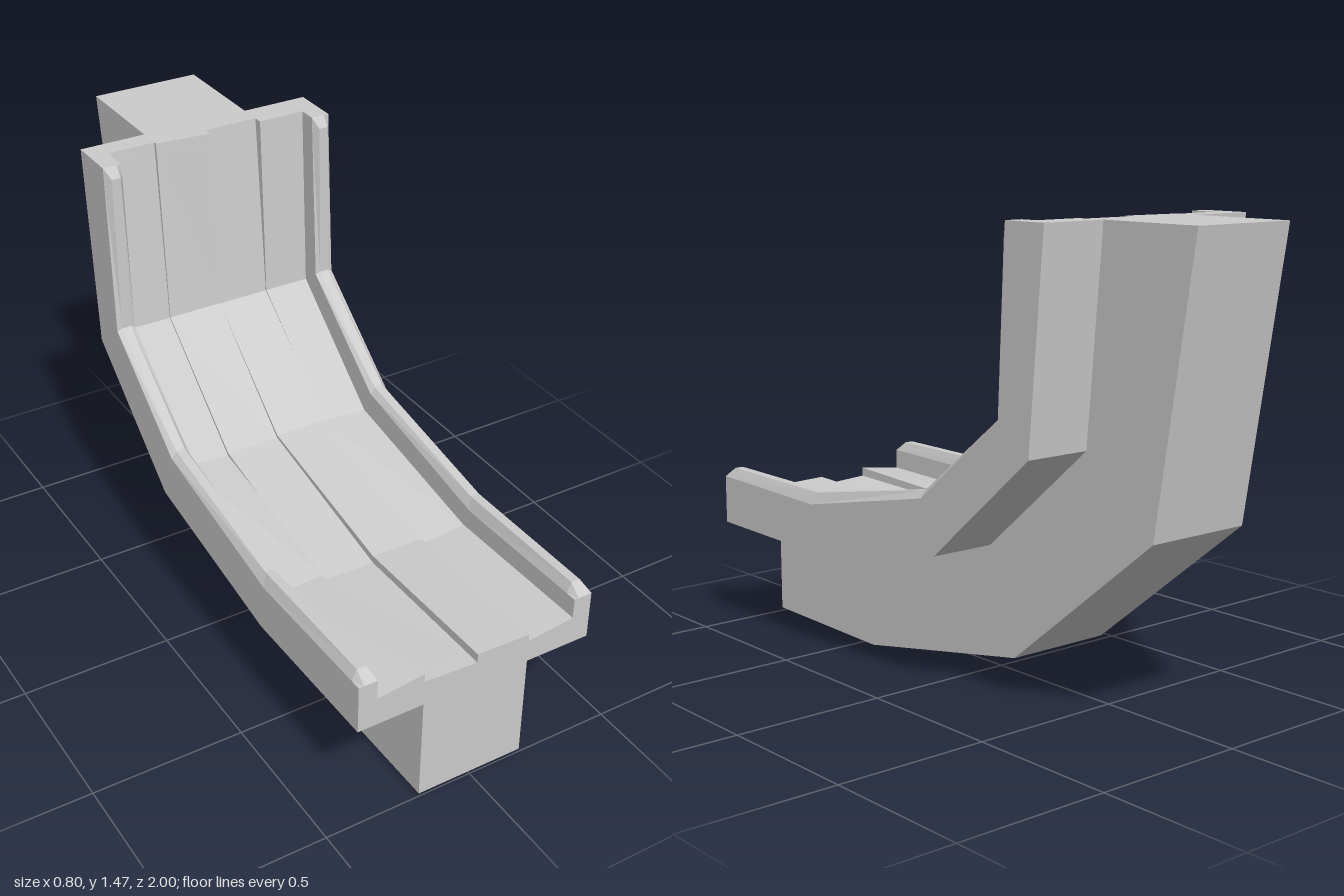
import * as THREE from 'three';

// Lengthwise curves as [z, y] at the five bends, from the front end to the top end
const keel = [[1, 0.015], [0.45, 0.004], [-0.275, 0.132], [-0.855, 0.595], [-1, 1.476]];
const under = [[1, 0.365], [0.46, 0.355], [-0.16, 0.465], [-0.585, 0.82], [-0.645, 1.476]];
const floor = [[1, 0.46], [0.45, 0.445], [-0.135, 0.555], [-0.52, 0.87], [-0.575, 1.476]];
const railEdge = [[1, 0.527], [0.48, 0.515], [-0.1, 0.632], [-0.455, 0.917], [-0.485, 1.476]];
const railTop = [[1, 0.56], [0.46, 0.555], [-0.1, 0.655], [-0.452, 0.925], [-0.462, 1.476]];

// Plank edges across the floor, and how far each edge stands proud at every bend
const plankX = [-0.34, -0.182, -0.182, 0, 0, 0.182, 0.182, 0.34];
const plankRise = [
  [0, 0.02, -0.01, -0.02, 0.01, 0.005, -0.02, 0],
  [0, 0.01, -0.01, -0.015, 0.01, 0.005, -0.015, 0],
  [0.005, -0.01, 0, 0, 0.01, 0.01, 0.005, -0.005],
  [0.015, 0, 0.005, 0.012, 0, 0, 0.005, 0],
  [0, 0, 0.012, 0.03, 0, 0, 0.03, 0.03],
];

// Position along the bends; the two extra stations shape the chamfered rail ends
const stations = [0, 0.07, 1, 2, 3, 3.94, 4];

function at(curve, s) {
  const i = Math.min(Math.floor(s), 3), t = s - i;
  return curve[i].map((v, k) => v + (curve[i + 1][k] - v) * t);
}

// Closed cross-section, counter-clockwise seen from the front end
function section(s) {
  const [k, u, f, e] = [keel, under, floor, railEdge].map((c) => at(c, s));
  const p = s === 0 || s === 4 ? e : at(railTop, s);
  const rise = at(plankRise, s);
  const n = new THREE.Vector2(f[0] - u[0], f[1] - u[1]).normalize();
  const point = (x, c) => new THREE.Vector3(x, c[1], c[0]);
  const right = [
    point(0.182, k), point(0.182, u), point(0.402, u),
    point(0.402, e), point(0.385, p), point(0.355, p), point(0.34, e),
  ];
  const left = right.map((v) => new THREE.Vector3(-v.x, v.y, v.z)).reverse();
  const planks = plankX.map((x, i) => point(x, [f[0] + n.x * rise[i], f[1] + n.y * rise[i]])).reverse();
  return [...right, ...planks, ...left];
}

function sweep(rings) {
  const pos = [];
  const tri = (...pts) => pts.forEach((p) => pos.push(p.x, p.y, p.z));
  const count = rings[0].length;
  // Long faces
  for (let i = 0; i < rings.length - 1; i++) {
    for (let j = 0; j < count; j++) {
      const a = rings[i][j], b = rings[i][(j + 1) % count];
      const c = rings[i + 1][(j + 1) % count], d = rings[i + 1][j];
      tri(a, c, b);
      tri(a, d, c);
    }
  }
  // Flat ends
  const first = rings[0], last = rings[rings.length - 1];
  const cap = (ring, axis) =>
    THREE.ShapeUtils.triangulateShape(ring.map((v) => new THREE.Vector2(v.x, v[axis])), []);
  cap(first, 'y').forEach(([a, b, c]) => tri(first[a], first[b], first[c]));
  cap(last, 'z').forEach(([a, b, c]) => tri(last[a], last[c], last[b]));
  const geometry = new THREE.BufferGeometry();
  geometry.setAttribute('position', new THREE.Float32BufferAttribute(pos, 3));
  geometry.computeVertexNormals();
  return geometry;
}

export function createModel() {
  const group = new THREE.Group();
  group.name = 'curvedRamp';
  const material = new THREE.MeshStandardMaterial({ color: 0xcccccc, flatShading: true, side: THREE.DoubleSide });
  // Planked bed, side rails and supporting keel form one solid
  const ramp = new THREE.Mesh(sweep(stations.map(section)), material);
  ramp.name = 'plankedBedWithRailsAndKeel';
  group.add(ramp);
  return group;
}
